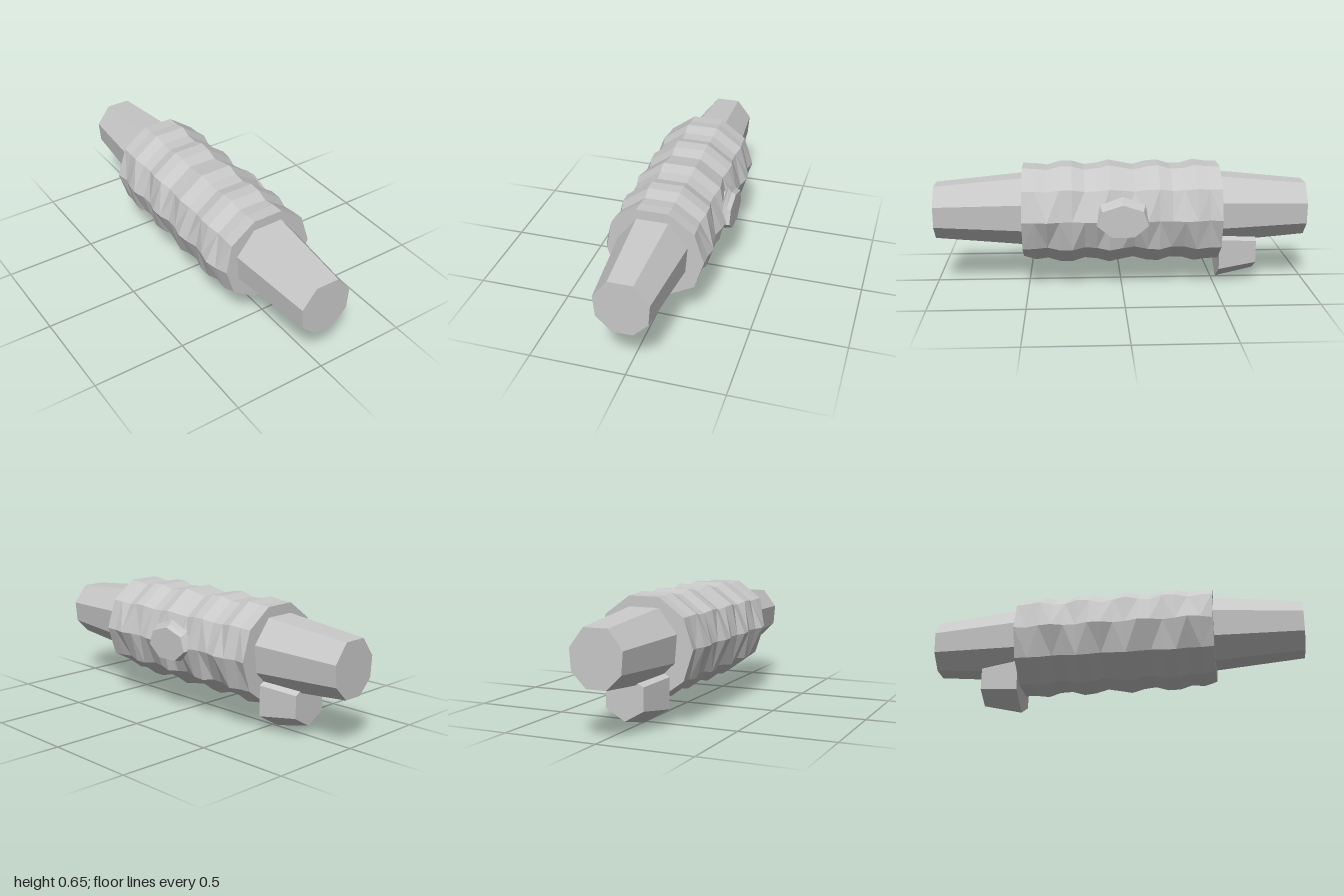
import * as THREE from 'three';

const CX = -0.0075, CY = 0.383; // axis of the body

// Skin a row of cross-sections (ordered from +z to -z, each counter-clockwise seen from +z), with flat facets and end caps.
function loft(sections) {
  const pos = [];
  const tri = (...pts) => pts.forEach((p) => pos.push(p.x, p.y, p.z));
  const n = sections[0].length;
  for (let i = 0; i < sections.length - 1; i++) {
    for (let j = 0; j < n; j++) {
      const k = (j + 1) % n;
      const a = sections[i][j], b = sections[i][k], c = sections[i + 1][k], d = sections[i + 1][j];
      // the diagonal alternates from row to row
      if (i % 2) {
        tri(a, d, b);
        tri(b, d, c);
      } else {
        tri(a, d, c);
        tri(a, c, b);
      }
    }
  }
  const centre = (s) => s.reduce((sum, p) => sum.add(p), new THREE.Vector3()).divideScalar(n);
  const first = sections[0], last = sections[sections.length - 1];
  const c0 = centre(first), c1 = centre(last);
  for (let j = 0; j < n; j++) {
    const k = (j + 1) % n;
    tri(c0, first[j], first[k]);
    tri(c1, last[k], last[j]);
  }
  const g = new THREE.BufferGeometry();
  g.setAttribute('position', new THREE.Float32BufferAttribute(pos, 3));
  g.computeVertexNormals();
  return g;
}

// Polygon section around (cx, cy)
function ring(n, z, cx, cy, rx, ry, start) {
  return Array.from({ length: n }, (_, j) => {
    const a = start + (j / n) * Math.PI * 2;
    return new THREE.Vector3(cx + rx * Math.cos(a), cy + ry * Math.sin(a), z);
  });
}

export function createModel() {
  const model = new THREE.Group();
  const grey = new THREE.MeshStandardMaterial({ color: 0xc8c8c8 });
  grey.name = 'light grey metal';
  const add = (name, geometry) => {
    const mesh = new THREE.Mesh(geometry, grey);
    mesh.name = name;
    model.add(mesh);
    return mesh;
  };

  // Rippled ten-sided body: ripples on the sides run out of step with those above and below
  const steps = 16, half = 0.527;
  const body = [];
  for (let i = 0; i <= steps; i++) {
    const z = half - (i / steps) * half * 2;
    const radius = (j) => {
      if (i === 0) return j >= 5 && j <= 8 ? 0.243 : 0.265;
      if (i === steps) return 0.267;
      const side = j === 0 || j === 5;
      const peak = side ? 0.15 : 0.06;
      const period = side ? 0.25 : 0.235;
      return 0.266 + 0.013 * Math.cos(((z - peak) / period) * Math.PI * 2);
    };
    body.push(Array.from({ length: 10 }, (_, j) => {
      const a = (j / 10) * Math.PI * 2;
      return new THREE.Vector3(CX + radius(j) * Math.cos(a), CY + radius(j) * Math.sin(a), z);
    }));
  }
  add('ripple body', loft(body));

  // Tapered eight-sided ends
  const right = [[0.068, -0.168], [0.169, -0.069], [0.181, 0.074], [0.0825, 0.2]];
  const outline = [...right, ...right.slice().reverse().map(([x, y]) => [-x, y])];
  const endSection = (z, s) => outline.map(([x, y]) => new THREE.Vector3(CX + x * s, CY + y * s, z));
  add('front end', loft([endSection(1, 0.775), endSection(0.52, 1)]));
  add('rear end', loft([endSection(-0.52, 1), endSection(-1, 0.775)]));

  // Hexagonal foot under the rear end
  add('rear foot', loft([
    ring(6, -0.527, CX, 0.162, 0.162, 0.162, Math.PI / 2),
    ring(6, -0.733, CX, 0.166, 0.118, 0.118, Math.PI / 2),
  ]));

  // Seven-sided button on the left side, with a bevelled rim: [x, centre y, width radius, height radius]
  const button = add('side button', loft([
    [0.287, 0.388, 0.137, 0.09],
    [0.265, 0.393, 0.143, 0.097],
    [0.247, 0.402, 0.149, 0.113],
    [0.232, 0.395, 0.135, 0.095],
    [0.19, 0.395, 0.12, 0.085],
  ].map(([x, y, w, h]) => ring(7, x, 0, y, w, h, Math.PI / 2))));
  button.rotation.y = Math.PI / 2;

  return model;
}
